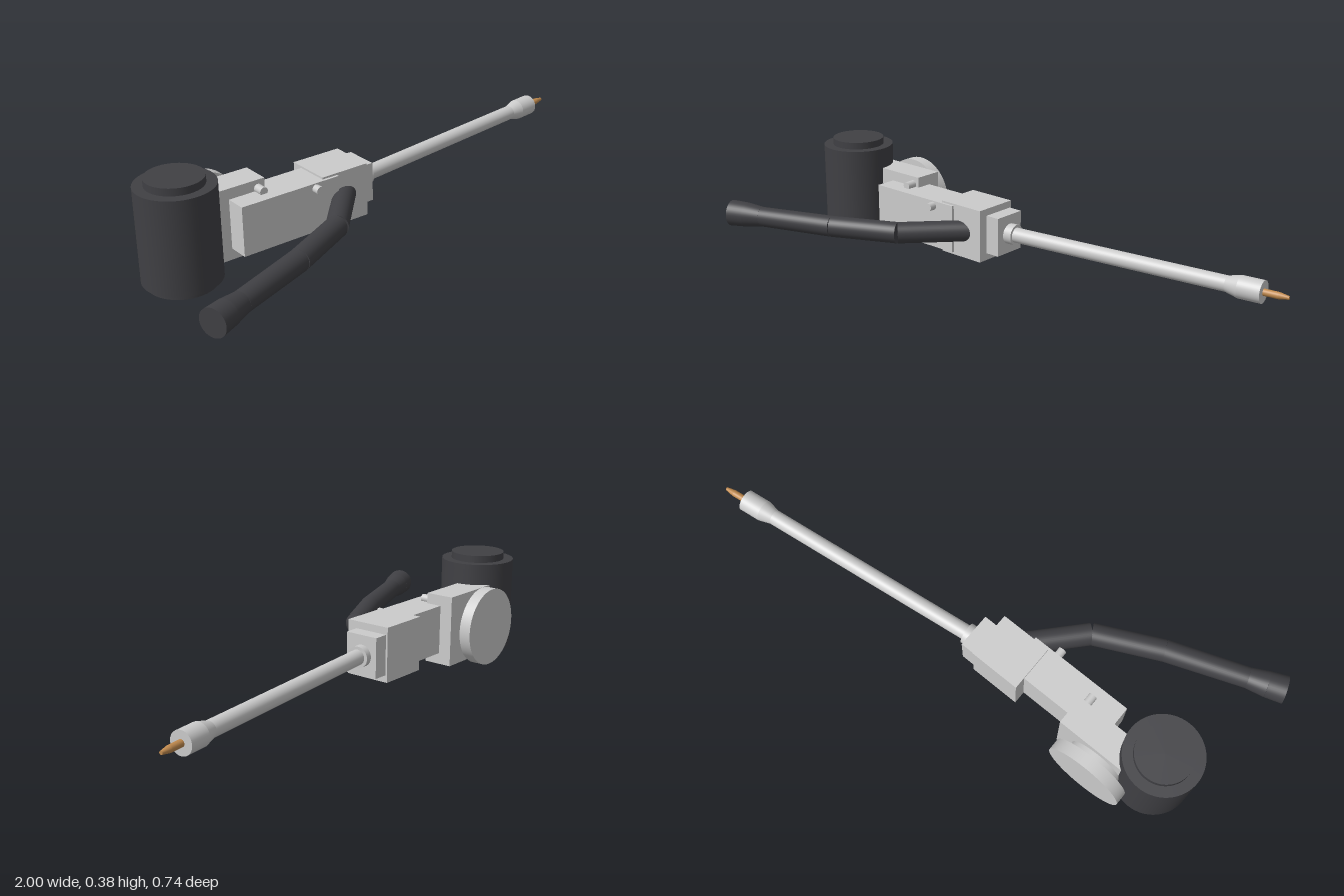
import * as THREE from 'three';

const grey = new THREE.MeshStandardMaterial({ color: 0xcccccc });
const dark = new THREE.MeshStandardMaterial({ color: 0x404044 });
const copper = new THREE.MeshStandardMaterial({ color: 0xc08a4e });
const AXIS_Y = 0.145;

export function createModel() {
  const model = new THREE.Group();

  function add(name, geometry, material) {
    const mesh = new THREE.Mesh(geometry, material);
    mesh.name = name;
    model.add(mesh);
    return mesh;
  }

  // Box given by its extents on each axis
  function box(name, [x0, x1], [y0, y1], [z0, z1]) {
    add(name, new THREE.BoxGeometry(x1 - x0, y1 - y0, z1 - z0), grey)
      .position.set((x0 + x1) / 2, (y0 + y1) / 2, (z0 + z1) / 2);
  }

  // Round rod from point a (radius ra) to point b (radius rb)
  function rod(name, a, b, ra, rb, material, segments = 40) {
    const from = new THREE.Vector3(...a);
    const to = new THREE.Vector3(...b);
    const dir = to.clone().sub(from);
    const mesh = add(name, new THREE.CylinderGeometry(rb, ra, dir.length(), segments), material);
    mesh.position.copy(from).add(to).multiplyScalar(0.5);
    mesh.quaternion.setFromUnitVectors(new THREE.Vector3(0, 1, 0), dir.normalize());
  }

  // Upright motor drum with base and cap
  const drum = (name, y0, y1, r) => rod(name, [-0.807, y0, -0.17], [-0.807, y1, -0.17], r, r, dark, 64);
  drum('drumBase', 0, 0.02, 0.117);
  drum('drumBody', 0.018, 0.352, 0.134);
  drum('drumCap', 0.35, 0.378, 0.098);

  // Mounting flange at the back
  rod('flangeNeck', [-0.637, AXIS_Y, -0.26], [-0.637, AXIS_Y, -0.307], 0.098, 0.098, grey, 64);
  rod('flangeDisc', [-0.637, AXIS_Y, -0.305], [-0.637, AXIS_Y, -0.348], 0.142, 0.142, grey, 64);

  // Stepped body blocks
  box('rearBlock', [-0.73, -0.478], [0.016, 0.275], [-0.278, -0.171]);
  box('middleBlock', [-0.617, -0.23], [0.057, 0.236], [-0.23, -0.094]);
  box('frontBlock', [-0.29, -0.102], [0.047, 0.243], [-0.274, -0.104]);
  box('noseBlock', [-0.11, -0.048], [0.073, 0.217], [-0.267, -0.141]);

  // Locking pins
  rod('rearPin', [-0.505, 0.245, -0.18], [-0.505, 0.245, -0.134], 0.015, 0.015, grey, 24);
  rod('middlePin', [-0.325, 0.217, -0.1], [-0.325, 0.217, -0.067], 0.015, 0.015, grey, 24);

  // Collar where the barrel leaves the nose
  rod('collar', [-0.06, AXIS_Y, -0.206], [-0.02, AXIS_Y, -0.21], 0.038, 0.038, grey);

  // Slanted barrel, flared nozzle and copper tip share one axis
  const onBarrel = (x) => [x, AXIS_Y, -0.209 - 0.131 * (x + 0.02)];
  rod('barrel', onBarrel(-0.04), onBarrel(0.8), 0.0275, 0.0275, grey);
  rod('nozzleFlare', onBarrel(0.79), onBarrel(0.835), 0.0275, 0.039, grey);
  rod('nozzle', onBarrel(0.835), onBarrel(0.914), 0.039, 0.039, grey);
  rod('tipShaft', onBarrel(0.9), onBarrel(0.965), 0.012, 0.012, copper, 24);
  rod('tipPoint', onBarrel(0.965), onBarrel(0.999), 0.012, 0.006, copper, 24);

  // Segmented hose with flared mouth
  const hose = [[-0.165, -0.145], [-0.355, 0.061], [-0.586, 0.174], [-0.862, 0.277], [-0.925, 0.3], [-0.985, 0.323]]
    .map(([x, z]) => [x, AXIS_Y, z]);
  const radii = [0.039, 0.039, 0.039, 0.037, 0.046, 0.049];
  for (let i = 0; i < 5; i++) {
    rod(i < 3 ? 'hoseSegment' : 'hoseMouth', hose[i], hose[i + 1], radii[i], radii[i + 1], dark);
  }

  return model;
}
